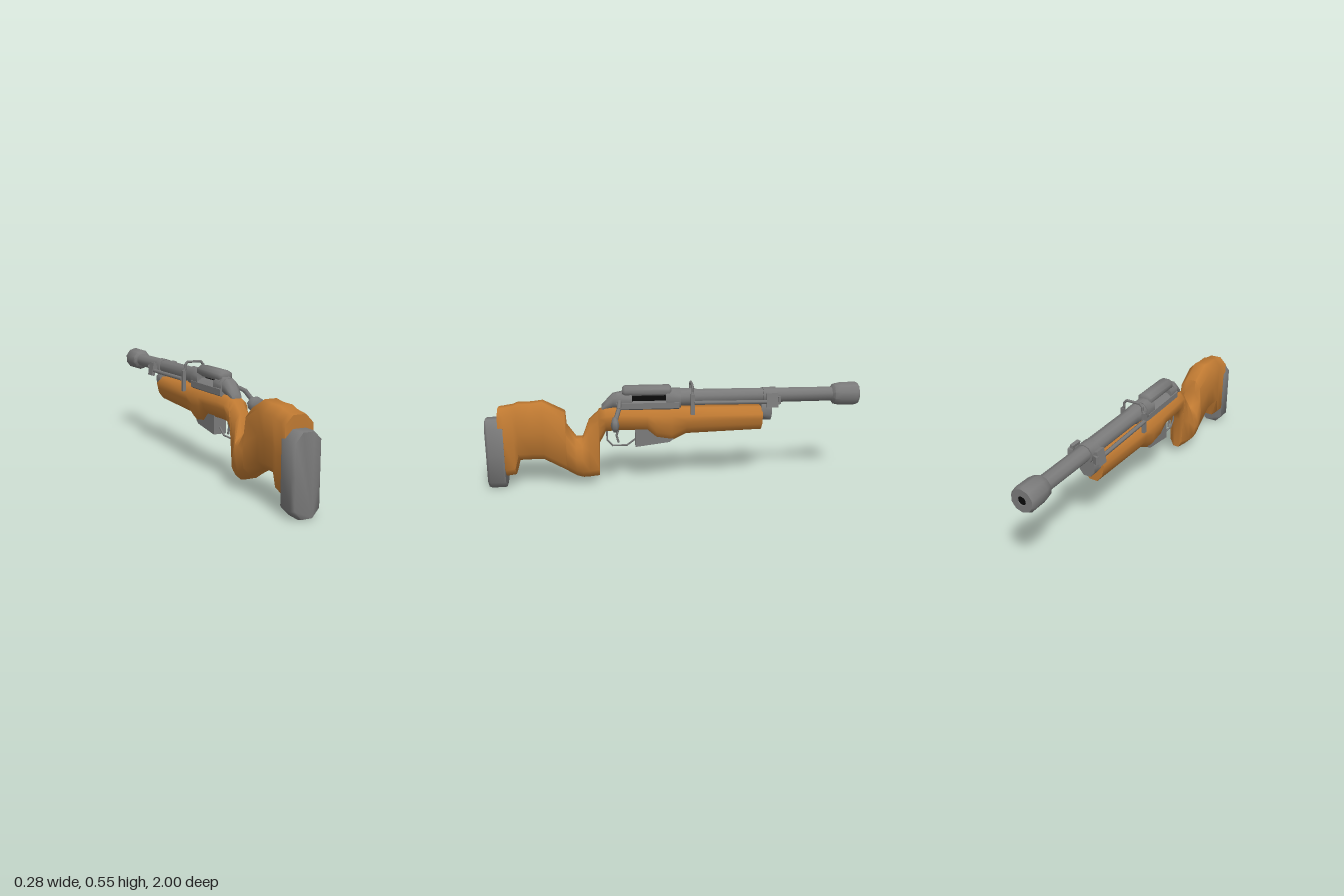
import * as THREE from 'three';
import { toCreasedNormals } from 'three/addons/utils/BufferGeometryUtils.js';

const CX = -0.055, AXIS = 0.468; // centre plane and bore height

const steel = new THREE.MeshStandardMaterial({ color: 0x7a7a7a, side: THREE.DoubleSide });
const wood = new THREE.MeshStandardMaterial({ color: 0xc07a32, side: THREE.DoubleSide });
const black = new THREE.MeshStandardMaterial({ color: 0x0a0a0a, side: THREE.DoubleSide });

// Chamfered cross-section: bottom y, top y, half width below and above
function ring(z, y0, y1, wb, wt, bulge) {
  const c = Math.min(0.04, (y1 - y0) * 0.28);
  const half = [
    [wb * 0.45, y0], [wb, y0 + c], [(wb + wt) / 2 + bulge, (y0 + y1) / 2],
    [wt, y1 - c], [wt * 0.45, y1],
  ];
  const other = half.map(([x, y]) => [-x, y]).reverse();
  return [...half, ...other].map(([x, y]) => [x, y, z]);
}

// Skin a list of stations [z, y0, y1, wb, wt, bulge] that run towards +z
function loft(stations, crease = 0.7) {
  const rings = stations.map(([z, y0, y1, wb, wt = wb, b = 0]) => ring(z, y0, y1, wb, wt, b));
  const n = rings[0].length, pos = rings.flat(2), idx = [];
  for (let i = 0; i < rings.length - 1; i++) {
    for (let j = 0; j < n; j++) {
      const a = i * n + j, b = i * n + (j + 1) % n;
      idx.push(a, b, b + n, a, b + n, a + n);
    }
  }
  const end = (rings.length - 1) * n;
  for (let j = 1; j < n - 1; j++) {
    idx.push(0, j + 1, j, end, end + j, end + j + 1);
  }
  const g = new THREE.BufferGeometry();
  g.setAttribute('position', new THREE.Float32BufferAttribute(pos, 3));
  g.setIndex(idx);
  return toCreasedNormals(g, crease);
}

export function createModel() {
  const model = new THREE.Group();
  model.name = 'rifle';
  const gun = new THREE.Group();
  gun.name = 'rifleBody';
  gun.position.x = CX;
  model.add(gun);

  function add(name, geometry, material = steel, x = 0, y = 0, z = 0) {
    const mesh = new THREE.Mesh(geometry, material);
    mesh.name = name;
    mesh.position.set(x, y, z);
    gun.add(mesh);
    return mesh;
  }

  // Straight round bars joining a list of points
  function bars(name, points, r) {
    const group = new THREE.Group();
    group.name = name;
    const v = points.map((p) => new THREE.Vector3(...p));
    for (let i = 0; i < v.length - 1; i++) {
      const dir = v[i + 1].clone().sub(v[i]);
      const bar = new THREE.Mesh(new THREE.CylinderGeometry(r, r, dir.length() + r * 0.7, 6), steel);
      bar.name = name + 'Segment';
      bar.position.copy(v[i]).addScaledVector(dir, 0.5);
      bar.quaternion.setFromUnitVectors(new THREE.Vector3(0, 1, 0), dir.normalize());
      group.add(bar);
    }
    gun.add(group);
  }

  // Side outline in (z, y), extruded across x
  function plate(name, outline, width) {
    const shape = new THREE.Shape(outline.map(([z, y]) => new THREE.Vector2(-z, y)));
    const g = new THREE.ExtrudeGeometry(shape, { depth: width, bevelEnabled: false });
    g.translate(0, 0, -width / 2).rotateY(Math.PI / 2);
    return add(name, g);
  }

  // Wooden stock: fore-end, wrist, pistol grip, cheek piece and butt
  add('stock', loft([
    [-0.47, 0.285, 0.412, 0.05, 0.062],
    [-0.06, 0.273, 0.415, 0.055, 0.066],
    [0.02, 0.235, 0.42, 0.058, 0.07],
    [0.1, 0.25, 0.42, 0.06, 0.07],
    [0.15, 0.295, 0.42, 0.062, 0.07],
    [0.3, 0.3, 0.425, 0.062, 0.068],
    [0.37, 0.295, 0.42, 0.052, 0.062],
    [0.405, 0.23, 0.41, 0.042, 0.052],
    [0.41, 0.045, 0.4, 0.036, 0.046],
    [0.46, 0.043, 0.355, 0.056, 0.044, 0.004],
    [0.495, 0.043, 0.26, 0.068, 0.066, 0.012],
    [0.53, 0.053, 0.258, 0.07, 0.07, 0.01],
    [0.58, 0.083, 0.33, 0.068, 0.066, 0.008],
    [0.584, 0.086, 0.404, 0.068, 0.06, 0.006],
    [0.7, 0.15, 0.463, 0.066, 0.066],
    [0.76, 0.152, 0.455, 0.066, 0.07],
    [0.83, 0.15, 0.455, 0.066, 0.071],
    [0.852, 0.07, 0.445, 0.064, 0.066],
    [0.9, 0.064, 0.437, 0.068, 0.07],
    [0.93, 0.085, 0.433, 0.068, 0.07],
  ], 1.15), wood);

  // Butt pad
  add('buttPad', loft([
    [0.905, 0.004, 0.373, 0.07],
    [0.915, 0.0, 0.375, 0.0715],
    [0.985, 0.0, 0.375, 0.0715],
    [1.0, 0.004, 0.373, 0.06],
  ], 1.2));

  // Barrel with muzzle brake and bore
  const profile = [
    [0.048, -0.04], [0.048, 0.1], [0.042, 0.12], [0.039, 0.855], [0.056, 0.867],
    [0.063, 0.9], [0.064, 0.985], [0.056, 1.0], [0.022, 1.0], [0.022, 0.94],
  ].map(([r, d]) => new THREE.Vector2(r, d));
  const barrel = new THREE.LatheGeometry(profile, 10);
  barrel.rotateX(-Math.PI / 2);
  add('barrel', toCreasedNormals(barrel, 0.8), steel, 0, AXIS, 0);
  const bore = new THREE.CircleGeometry(0.023, 10);
  bore.rotateY(Math.PI);
  add('bore', bore, black, 0, AXIS, -0.995);

  // Receiver: low body, a full-height ring at each end, rounded cover above the port
  add('receiver', loft([[-0.02, 0.4, 0.47, 0.052], [0.31, 0.4, 0.47, 0.05]]));
  add('frontReceiverRing', loft([[-0.03, 0.41, 0.515, 0.05], [0.05, 0.41, 0.515, 0.05]], 1));
  add('rearReceiverRing', loft([[0.23, 0.41, 0.505, 0.048], [0.31, 0.41, 0.5, 0.045]], 1));
  add('port', new THREE.BoxGeometry(0.045, 0.024, 0.18), black, 0.022, 0.473, 0.14);
  add('receiverCover', loft([
    [0.02, 0.49, 0.525, 0.03], [0.03, 0.48, 0.535, 0.04],
    [0.265, 0.48, 0.535, 0.04], [0.28, 0.49, 0.525, 0.03],
  ], 1.1));

  // Bolt shroud, handle and knob
  add('boltShroud', loft([
    [0.28, 0.42, 0.505, 0.042], [0.33, 0.42, 0.495, 0.038],
    [0.36, 0.41, 0.465, 0.032], [0.39, 0.4, 0.435, 0.025],
  ], 1));
  bars('boltHandle', [
    [0.03, 0.465, 0.295], [0.095, 0.433, 0.3], [0.128, 0.385, 0.318],
  ], 0.012);
  const knob = add('boltKnob', new THREE.SphereGeometry(1, 7, 4), steel, 0.145, 0.364, 0.322);
  knob.scale.set(0.051, 0.04, 0.023);
  knob.rotation.z = -0.2;

  // Magazine, trigger and guard
  plate('magazine', [[0.215, 0.31], [0.215, 0.205], [0.03, 0.228], [0.01, 0.245], [0.01, 0.31]], 0.07);
  bars('triggerGuard', [
    [0, 0.305, 0.365], [0, 0.24, 0.365], [0, 0.207, 0.335], [0, 0.207, 0.26], [0, 0.24, 0.215],
  ], 0.005);
  bars('trigger', [[0, 0.305, 0.3], [0, 0.265, 0.315], [0, 0.225, 0.305]], 0.006);

  // Hoop over the barrel, carried on two side lugs
  bars('barrelHoop', [
    [-0.062, 0.49, -0.09], [-0.053, 0.505, -0.09], [-0.053, 0.525, -0.09], [-0.038, 0.541, -0.09],
    [0.038, 0.541, -0.09], [0.053, 0.525, -0.09], [0.053, 0.505, -0.09], [0.062, 0.49, -0.09],
  ], 0.007);

  // Folded legs along both sides, hinged on a clamp at the fore-end tip
  const clamp = new THREE.CylinderGeometry(0.05, 0.05, 0.07, 10);
  clamp.rotateX(Math.PI / 2);
  add('legClamp', toCreasedNormals(clamp, 0.7), steel, 0, 0.463, -0.51);
  add('clampBase', loft([[-0.522, 0.335, 0.44, 0.042], [-0.465, 0.335, 0.44, 0.045]]));
  for (const s of [-1, 1]) {
    const side = s > 0 ? 'left' : 'right';
    add(side + 'HoopLug', new THREE.BoxGeometry(0.018, 0.11, 0.02), steel, s * 0.062, 0.44, -0.09);
    bars(side + 'Leg', [[s * 0.067, 0.45, -0.1], [s * 0.069, 0.447, -0.5]], 0.011);
    const hinge = add(side + 'Hinge',
      new THREE.BoxGeometry(0.018, 0.075, 0.06), steel, s * 0.072, 0.455, -0.515);
    hinge.rotation.z = s * 0.18;
    const foot = add(side + 'Foot',
      new THREE.BoxGeometry(0.026, 0.04, 0.016), steel, s * 0.07, 0.455, -0.548);
    foot.rotation.y = s * 0.4;
    add(side + 'HingePin', new THREE.BoxGeometry(0.03, 0.03, 0.03), steel, s * 0.052, 0.46, -0.51);
  }

  return model;
}
